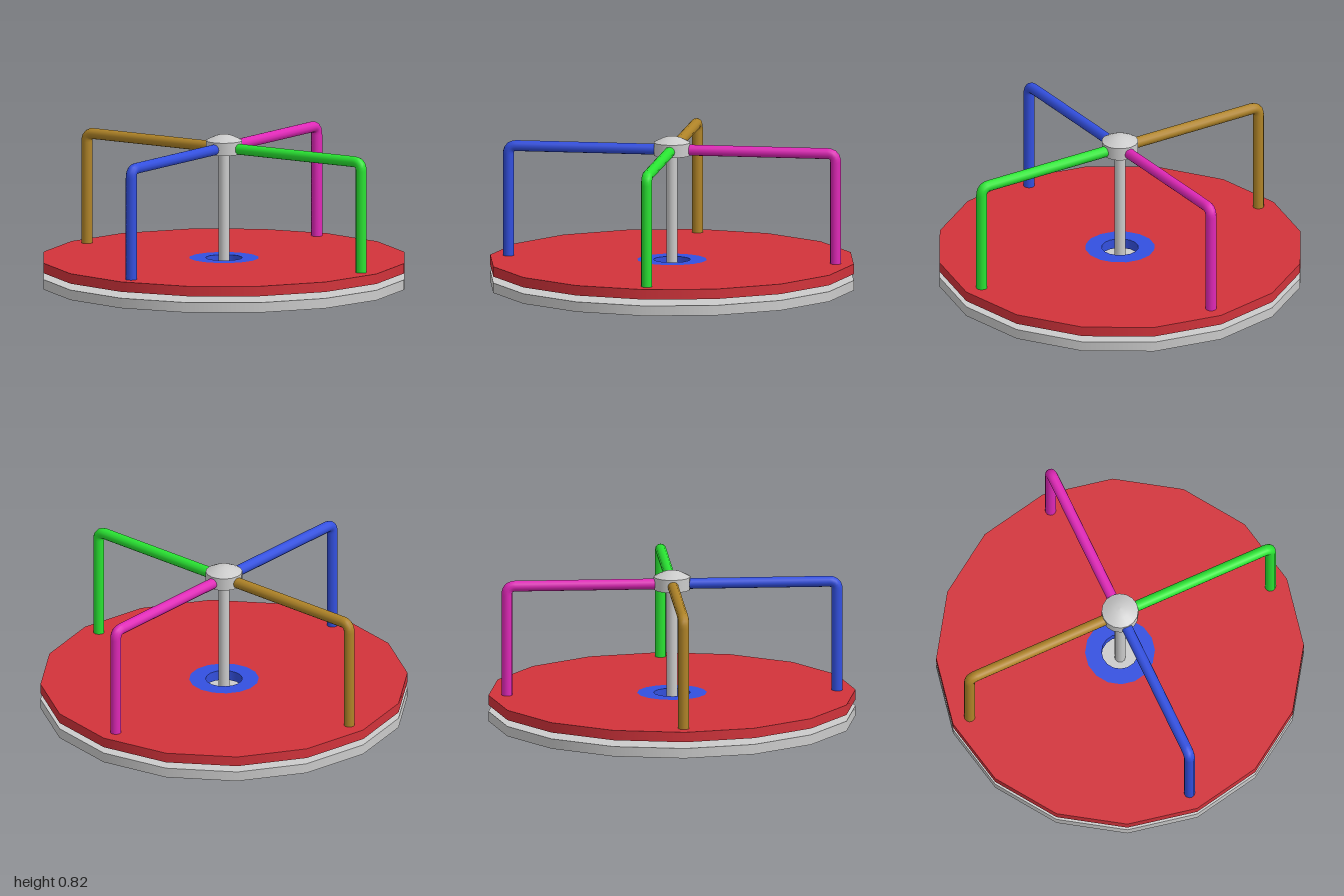
import * as THREE from 'three';

const SIDES = 16;
const mat = (color) => new THREE.MeshStandardMaterial({ color, side: THREE.DoubleSide });

// Lathe from separate straight segments, so each profile corner stays sharp.
function turned(name, points, material, sides = SIDES) {
  const group = new THREE.Group();
  group.name = name;
  for (let i = 0; i < points.length - 1; i++) {
    const pair = [points[i], points[i + 1]].map(([r, y]) => new THREE.Vector2(r, y));
    const mesh = new THREE.Mesh(new THREE.LatheGeometry(pair, sides), material);
    mesh.name = name + 'Surface';
    group.add(mesh);
  }
  return group;
}

// Bent handrail: out from the hub, round a tight corner and down to the platform.
function handrail(name, color, angle) {
  const out = 0.9, top = 0.75, bend = 0.045;
  const v = (x, y) => new THREE.Vector3(x, y, 0);
  const path = new THREE.CurvePath();
  path.add(new THREE.LineCurve3(v(0.08, top), v(out - bend, top)));
  path.add(new THREE.QuadraticBezierCurve3(v(out - bend, top), v(out, top), v(out, top - bend)));
  path.add(new THREE.LineCurve3(v(out, top - bend), v(out, 0.12)));
  const mesh = new THREE.Mesh(new THREE.TubeGeometry(path, 96, 0.03, 12), mat(color));
  mesh.name = name;
  mesh.rotation.y = angle;
  return mesh;
}

export function createModel() {
  const model = new THREE.Group();
  model.name = 'merryGoRound';
  const grey = mat(0xcccccc), red = mat(0xd2333b), blue = mat(0x3350e0);

  // Fixed base disc
  const base = new THREE.Mesh(new THREE.CylinderGeometry(1, 1, 0.055, SIDES), grey);
  base.name = 'base';
  base.position.y = 0.0275;
  model.add(base);

  // Turning platform: red rim and deck, blue centre ring, hole wall and underside
  model.add(turned('platformDeck', [[1, 0.09], [1, 0.145], [0.19, 0.145]], red));
  model.add(turned('platformCore', [[0.19, 0.145], [0.1, 0.145], [0.1, 0.09], [1, 0.09]], blue));

  // Centre pole
  const pole = new THREE.Mesh(new THREE.CylinderGeometry(0.03, 0.03, 0.75, 12), grey);
  pole.name = 'centrePole';
  pole.position.y = 0.425;
  model.add(pole);

  // Hollow hub collar with a shallow domed cap
  model.add(turned('hubCollar',
    [[0.08, 0.785], [0.08, 0.72], [0.1, 0.72], [0.1, 0.79]], grey));
  const dome = [[0.1, 0.79], [0.075, 0.803], [0.05, 0.815], [0.025, 0.822], [0, 0.825]];
  const cap = new THREE.Mesh(
    new THREE.LatheGeometry(dome.map(([r, y]) => new THREE.Vector2(r, y)), SIDES), grey);
  cap.name = 'hubCap';
  model.add(cap);

  // Four handrails, a quarter turn apart
  [['leftRail', 0x2ae533], ['backRail', 0xe028b8], ['rightRail', 0xb08428], ['frontRail', 0x3350e0]]
    .forEach(([name, color], i) => model.add(handrail(name, color, i * Math.PI / 2)));

  return model;
}
